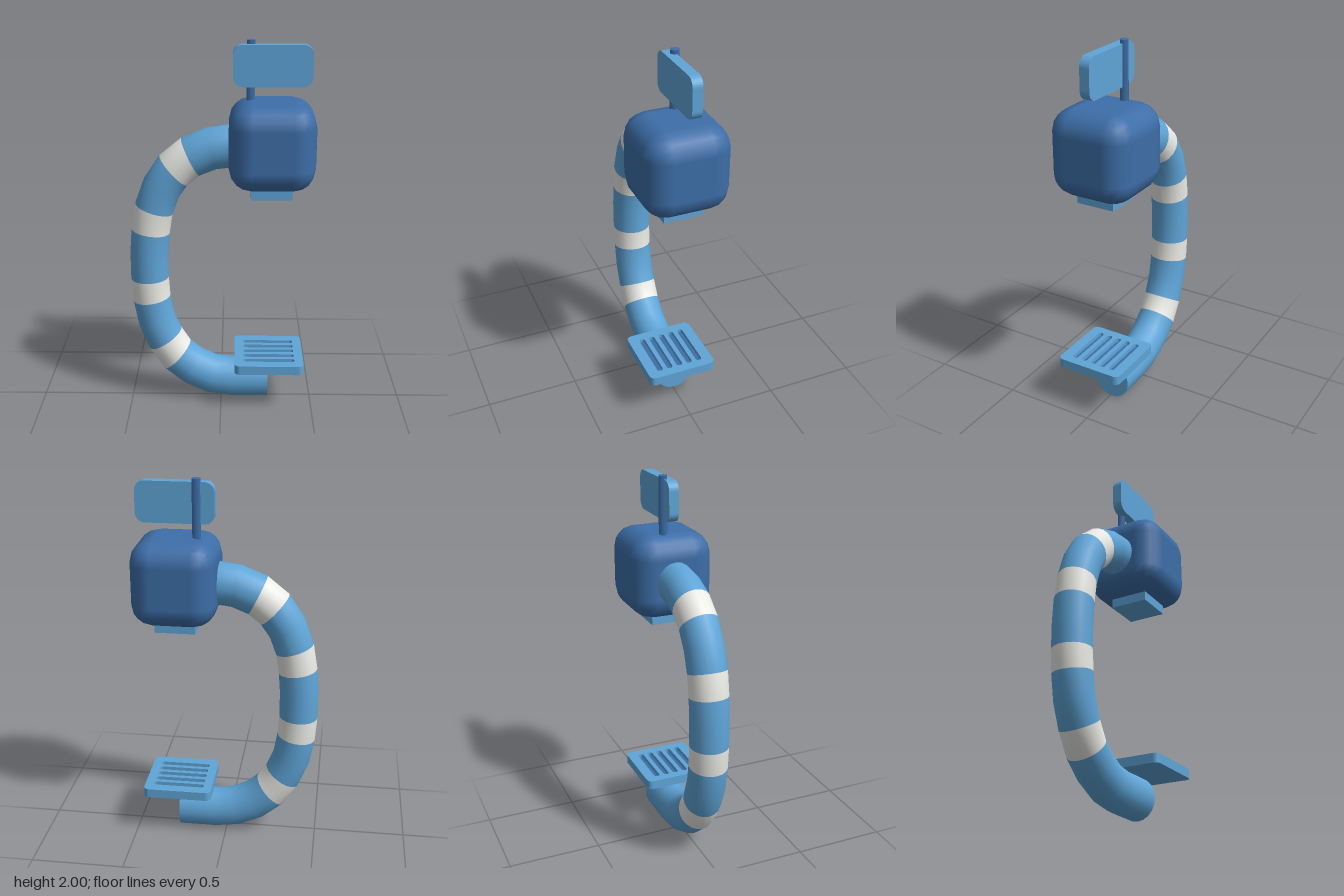
import * as THREE from 'three';
import { RoundedBoxGeometry } from 'three/addons/geometries/RoundedBoxGeometry.js';

const paint = (color) => new THREE.MeshStandardMaterial({ color });
const LIGHT = paint(0x5fa5d8);
const DARK = paint(0x3d6ea8);
const PALE = paint(0xeaeae6);

const SIDES = 20, RADIUS = 0.103, STRETCH = 1.1, TUBE_Z = -0.01;

// Centre line of the curved pipe, from the open foot up into the head
const PATH = [
  [0.26, 0.117], [0.06, 0.117], [-0.05, 0.132], [-0.155, 0.18], [-0.245, 0.255], [-0.31, 0.355],
  [-0.357, 0.47], [-0.38, 0.6], [-0.388, 0.72], [-0.388, 0.86], [-0.378, 0.99], [-0.357, 1.115],
  [-0.315, 1.23], [-0.25, 1.327], [-0.16, 1.4], [-0.05, 1.445], [0.04, 1.457], [0.15, 1.457],
];

// Skin of the pipe between two path points, smooth across the colour changes
function pipeSection(from, to) {
  const pos = [], nor = [], index = [];
  for (let i = from; i <= to; i++) {
    const [x, y] = PATH[i];
    const a = PATH[Math.max(i - 1, 0)], b = PATH[Math.min(i + 1, PATH.length - 1)];
    const t = new THREE.Vector2(b[0] - a[0], (b[1] - a[1]) / STRETCH).normalize();
    for (let j = 0; j <= SIDES; j++) {
      const angle = (j / SIDES) * Math.PI * 2;
      const c = Math.cos(angle), s = Math.sin(angle);
      const dx = -t.y * c, dy = t.x * c;
      pos.push(x + dx * RADIUS, y + dy * RADIUS * STRETCH, TUBE_Z + s * RADIUS);
      const n = new THREE.Vector3(dx, dy / STRETCH, s).normalize();
      nor.push(n.x, n.y, n.z);
    }
  }
  const row = SIDES + 1;
  for (let i = 0; i < to - from; i++) {
    for (let j = 0; j < SIDES; j++) {
      const a = i * row + j, b = a + 1, d = a + row, e = d + 1;
      index.push(a, b, d, b, e, d);
    }
  }
  const g = new THREE.BufferGeometry();
  g.setAttribute('position', new THREE.Float32BufferAttribute(pos, 3));
  g.setAttribute('normal', new THREE.Float32BufferAttribute(nor, 3));
  g.setIndex(index);
  return g;
}

// Rounded rectangle outline centred on (cx, cy)
function roundedRect(target, w, h, r, cx = 0, cy = 0) {
  const corners = [[1, 1, 0], [-1, 1, 1], [-1, -1, 2], [1, -1, 3]];
  for (const [sx, sy, q] of corners) {
    target.absarc(cx + sx * (w / 2 - r), cy + sy * (h / 2 - r), r, q * Math.PI / 2, (q + 1) * Math.PI / 2, false);
  }
  target.closePath();
  return target;
}

const slab = (shape, depth, curveSegments = 4) =>
  new THREE.ExtrudeGeometry(shape, { depth, bevelEnabled: false, curveSegments });

export function createModel() {
  const model = new THREE.Group();
  const add = (name, geometry, material, x = 0, y = 0, z = 0, parent = model) => {
    const mesh = new THREE.Mesh(geometry, material);
    mesh.name = name;
    mesh.position.set(x, y, z);
    parent.add(mesh);
    return mesh;
  };

  // Curved pipe with four pale bands
  const pipe = new THREE.Group();
  pipe.name = 'curvedPipe';
  model.add(pipe);
  let start = 0;
  for (const band of [4, 7, 10, 13]) {
    add('pipeSection', pipeSection(start, band), LIGHT, 0, 0, 0, pipe);
    add('paleBand', pipeSection(band, band + 1), PALE, 0, 0, 0, pipe);
    start = band + 1;
  }
  add('pipeSection', pipeSection(start, PATH.length - 1), LIGHT, 0, 0, 0, pipe);
  const cap = new THREE.CircleGeometry(RADIUS, SIDES).rotateY(Math.PI / 2).scale(1, STRETCH, 1);
  add('pipeEnd', cap, LIGHT, PATH[0][0], PATH[0][1], TUBE_Z, pipe);

  // Head with a square nozzle underneath
  add('head', new RoundedBoxGeometry(0.446, 0.45, 0.448, 2, 0.12), DARK, 0.263, 1.475, 0);
  add('nozzle', new THREE.BoxGeometry(0.215, 0.1, 0.21), LIGHT, 0.263, 1.25, 0.005);

  // Post and sign board on top
  add('signPost', new THREE.CylinderGeometry(0.024, 0.024, 0.34, 6), DARK, 0.151, 1.83, -0.035);
  const board = slab(roundedRect(new THREE.Shape(), 0.405, 0.212, 0.05), 0.053);
  add('signBoard', board, LIGHT, 0.262, 1.875, -0.038);

  // Drip tray: solid base, dark slot floor and slotted top
  const tray = new THREE.Group();
  tray.name = 'dripTray';
  tray.position.set(0.263, 0.24, 0.022);
  model.add(tray);
  const outline = () => roundedRect(new THREE.Shape(), 0.375, 0.375, 0.03);
  const slotted = outline();
  for (let i = -2; i <= 2; i++) {
    slotted.holes.push(roundedRect(new THREE.Path(), 0.28, 0.032, 0.015, 0, i * 0.057));
  }
  add('trayBase', slab(outline(), 0.025).rotateX(-Math.PI / 2), LIGHT, 0, 0, 0, tray);
  add('trayGrille', slab(slotted, 0.025).rotateX(-Math.PI / 2), LIGHT, 0, 0.025, 0, tray);
  add('slotFloor', new THREE.BoxGeometry(0.3, 0.004, 0.3), DARK, 0, 0.026, 0, tray);

  return model;
}
